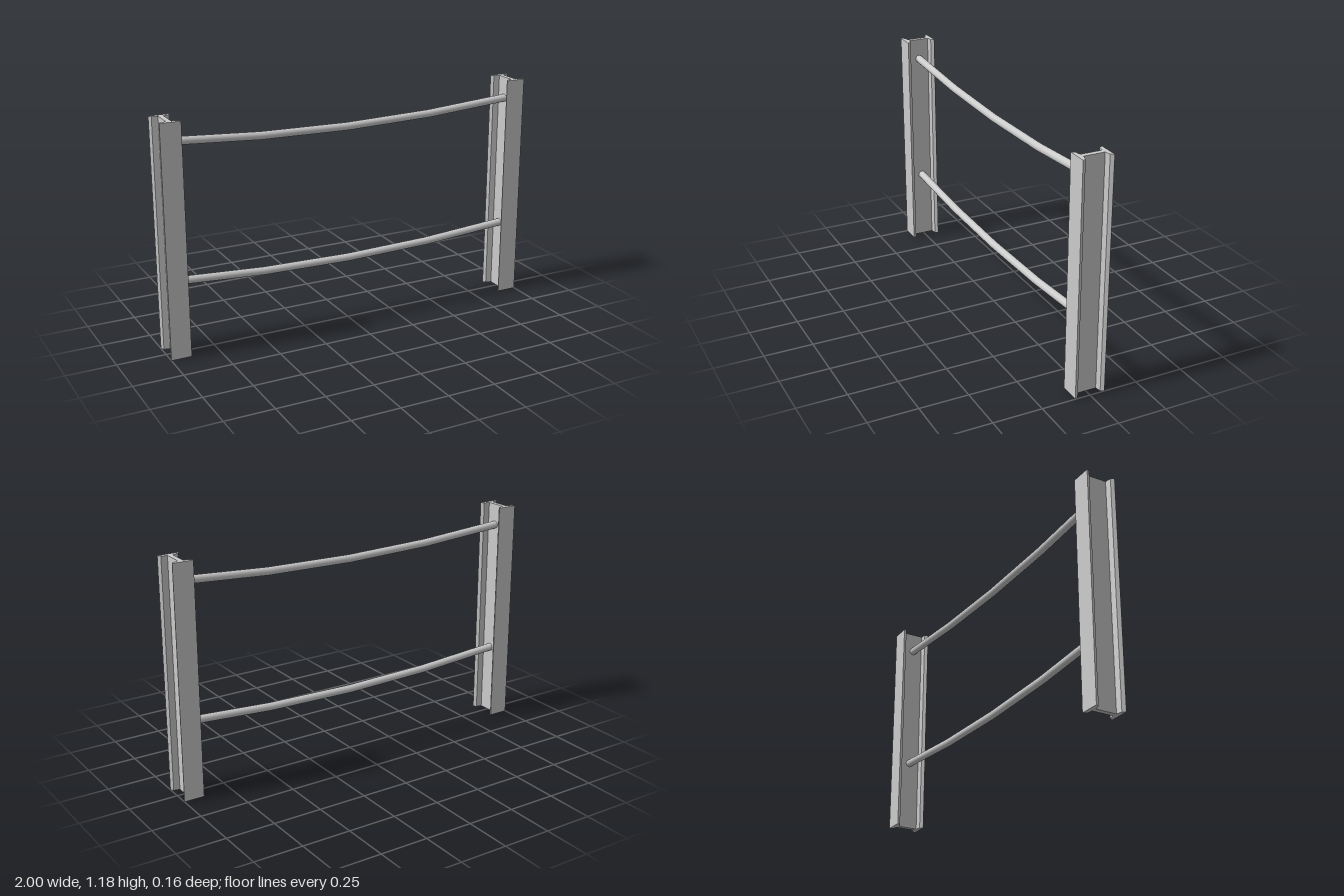
import * as THREE from 'three';

const HEIGHT = 1.183;
const POST_X = 0.9475;
const WEB = 0.0125; // half thickness of the web
const material = new THREE.MeshStandardMaterial({ color: 0xcccccc });

// Quarter of the I-beam section, from flange face to web: [x, depth]
const quarter = [[0.0525, 0.078], [0.0525, 0.074], [0.043, 0.06], [WEB, 0.054]];

function createPostGeometry() {
  const flip = (sx, sy) => quarter.map(([x, y]) => new THREE.Vector2(x * sx, y * sy));
  const outline = [
    ...flip(1, 1).reverse(),
    ...flip(-1, 1),
    ...flip(-1, -1).reverse(),
    ...flip(1, -1),
  ];
  const geometry = new THREE.ExtrudeGeometry(new THREE.Shape(outline), {
    depth: HEIGHT,
    bevelEnabled: false,
  });
  return geometry.rotateX(-Math.PI / 2); // stand upright on y = 0
}

// Gently sagging rail in four straight segments, ending at the webs
function createRailGeometry() {
  const end = POST_X - WEB;
  const sag = 0.042;
  const curve = new THREE.QuadraticBezierCurve3(
    new THREE.Vector3(-end, sag, 0),
    new THREE.Vector3(0, -sag, 0),
    new THREE.Vector3(end, sag, 0)
  );
  return new THREE.TubeGeometry(curve, 4, 0.02, 16, false);
}

export function createModel() {
  const model = new THREE.Group();
  model.name = 'railing';

  // Two I-beam posts
  const postGeometry = createPostGeometry();
  for (const [name, side] of [['leftPost', 1], ['rightPost', -1]]) {
    const post = new THREE.Mesh(postGeometry, material);
    post.name = name;
    post.position.x = side * POST_X;
    model.add(post);
  }

  // Upper and lower rails
  const railGeometry = createRailGeometry();
  for (const [name, y] of [['upperRail', 1.031], ['lowerRail', 0.333]]) {
    const rail = new THREE.Mesh(railGeometry, material);
    rail.name = name;
    rail.position.y = y;
    model.add(rail);
  }

  return model;
}
